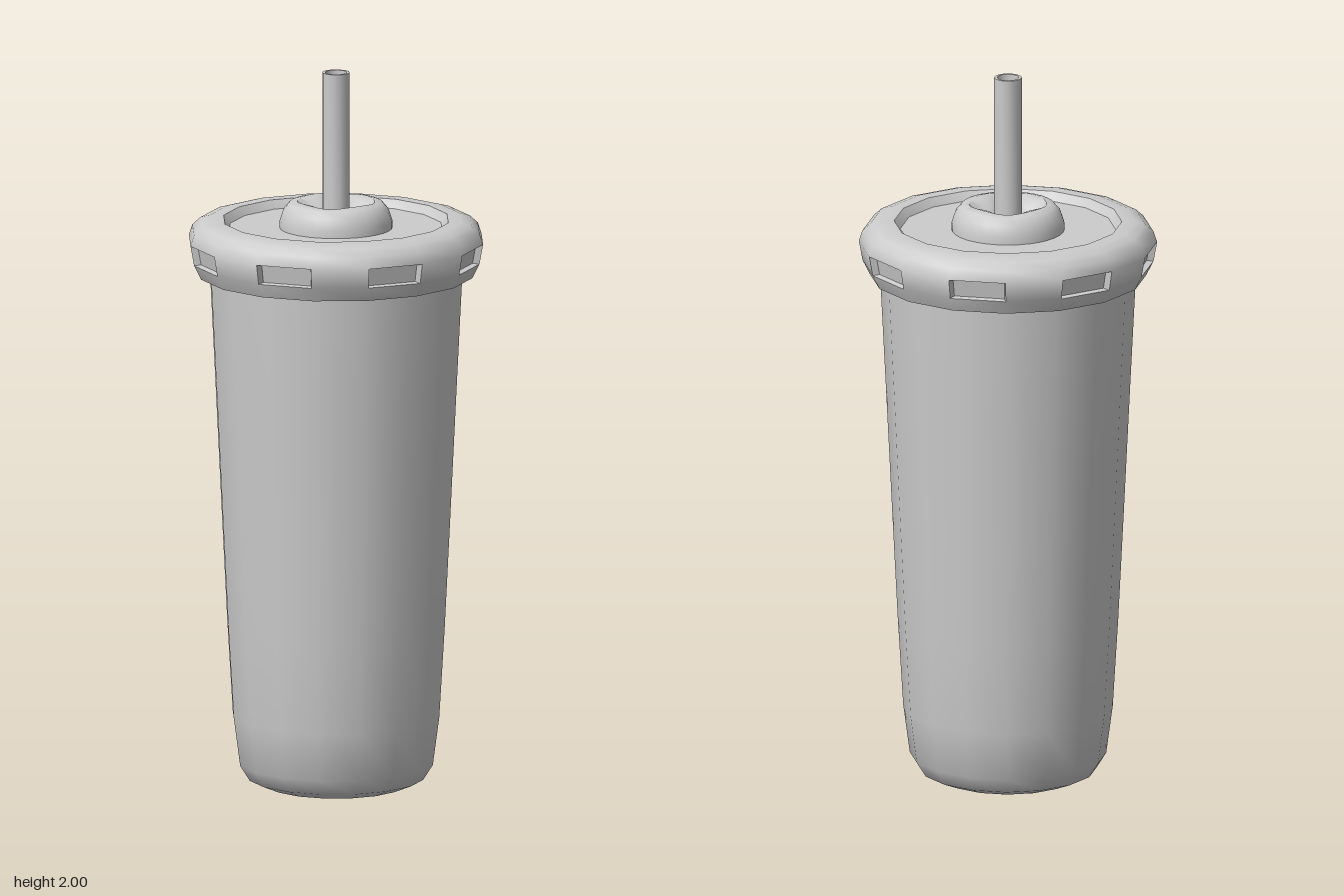
import * as THREE from 'three';
import { toCreasedNormals } from 'three/addons/utils/BufferGeometryUtils.js';

const SIDES = 16;

const grey = new THREE.MeshStandardMaterial({ color: 0xcccccc });
grey.name = 'grey plastic';

const lathe = (profile, sides = SIDES) =>
  new THREE.LatheGeometry(profile.map(([r, y]) => new THREE.Vector2(r, y)), sides);

function part(name, geometry, crease = 0.75) {
  const mesh = new THREE.Mesh(toCreasedNormals(geometry, crease), grey);
  mesh.name = name;
  return mesh;
}

// Rim and sunken top; alternate facets of the band between rows are left open for the grips
const LID = [
  [0.34, 1.5], [0.365, 1.49], [0.37, 1.435], [0.38, 1.435], [0.4, 1.475], [0.41, 1.53],
  [0.4, 1.56], [0.378, 1.58], [0.35, 1.588], [0.313, 1.588], [0.296, 1.565], [0, 1.565],
];
const BAND = 4;

function lidGeometry() {
  const geometry = lathe(LID);
  const source = geometry.index.array, kept = [];
  const rows = LID.length - 1;
  for (let i = 0; i < SIDES; i++)
    for (let j = 0; j < rows; j++) {
      if (j === BAND && i % 2 === 1) continue;
      const start = (i * rows + j) * 6;
      for (let k = 0; k < 6; k++) kept.push(source[start + k]);
    }
  geometry.setIndex(kept);
  return geometry;
}

// Shallow recess: four sloping walls and a floor, filling one open facet
function gripGeometry(segment) {
  const corner = (step, [r, y]) => {
    const a = ((segment + step) / SIDES) * Math.PI * 2;
    return new THREE.Vector3(r * Math.sin(a), y, r * Math.cos(a));
  };
  const low = LID[BAND], high = LID[BAND + 1];
  const outer = [corner(0, low), corner(1, low), corner(1, high), corner(0, high)];
  const centre = outer.reduce((s, p) => s.add(p), new THREE.Vector3()).multiplyScalar(0.25);
  const inward = new THREE.Vector3(centre.x, 0, centre.z).normalize().multiplyScalar(-0.018);
  const inner = outer.map((p) => p.clone().lerp(centre, 0.1).add(inward));
  const points = [...outer, ...inner];
  const index = [4, 5, 6, 4, 6, 7];
  for (let k = 0; k < 4; k++) {
    const n = (k + 1) % 4;
    index.push(k, n, n + 4, k, n + 4, k + 4);
  }
  const geometry = new THREE.BufferGeometry().setFromPoints(points);
  geometry.setIndex(index);
  return geometry;
}

// Soft mound whose mouth is pulled into a four-pointed star with creased slits
function spoutGeometry() {
  const geometry = lathe([
    [0.155, 1.56], [0.155, 1.585], [0.145, 1.615], [0.128, 1.635], [0.105, 1.641],
    [0.08, 1.634], [0.058, 1.618], [0.04, 1.595], [0.038, 1.56],
  ], 32);
  const p = geometry.attributes.position;
  for (let i = 0; i < p.count; i++) {
    const x = p.getX(i), z = p.getZ(i), r = Math.hypot(x, z);
    if (r > 0.11) continue;
    const axis = Math.abs(Math.cos(2 * Math.atan2(x, z))) ** 3;
    const depth = Math.min(1, (0.11 - r) / 0.07);
    const scale = 1 + (axis * depth * 0.027) / r;
    p.setXYZ(i, x * scale, p.getY(i) - axis * 0.02 * Math.sin(depth * Math.PI), z * scale);
  }
  return geometry;
}

export function createModel() {
  const model = new THREE.Group();
  model.name = 'tumbler';

  // Tapered cup with a rounded foot
  model.add(part('cup', lathe([
    [0, 0], [0.19, 0], [0.243, 0.022], [0.27, 0.065], [0.288, 0.2], [0.303, 0.45],
    [0.318, 0.75], [0.335, 1.1], [0.352, 1.44], [0.354, 1.5],
  ])));

  // Lid with eight recessed grips
  const lid = new THREE.Group();
  lid.name = 'lid';
  lid.add(part('lidShell', lidGeometry()));
  for (let i = 1; i < SIDES; i += 2) lid.add(part('gripRecess', gripGeometry(i), 0.3));
  lid.add(part('spout', spoutGeometry(), 0.9));
  model.add(lid);

  // Hollow straw
  model.add(part('straw', lathe([
    [0.038, 1.5], [0.038, 2], [0.03, 2], [0.03, 1.51], [0, 1.51],
  ], 12)));

  return model;
}
